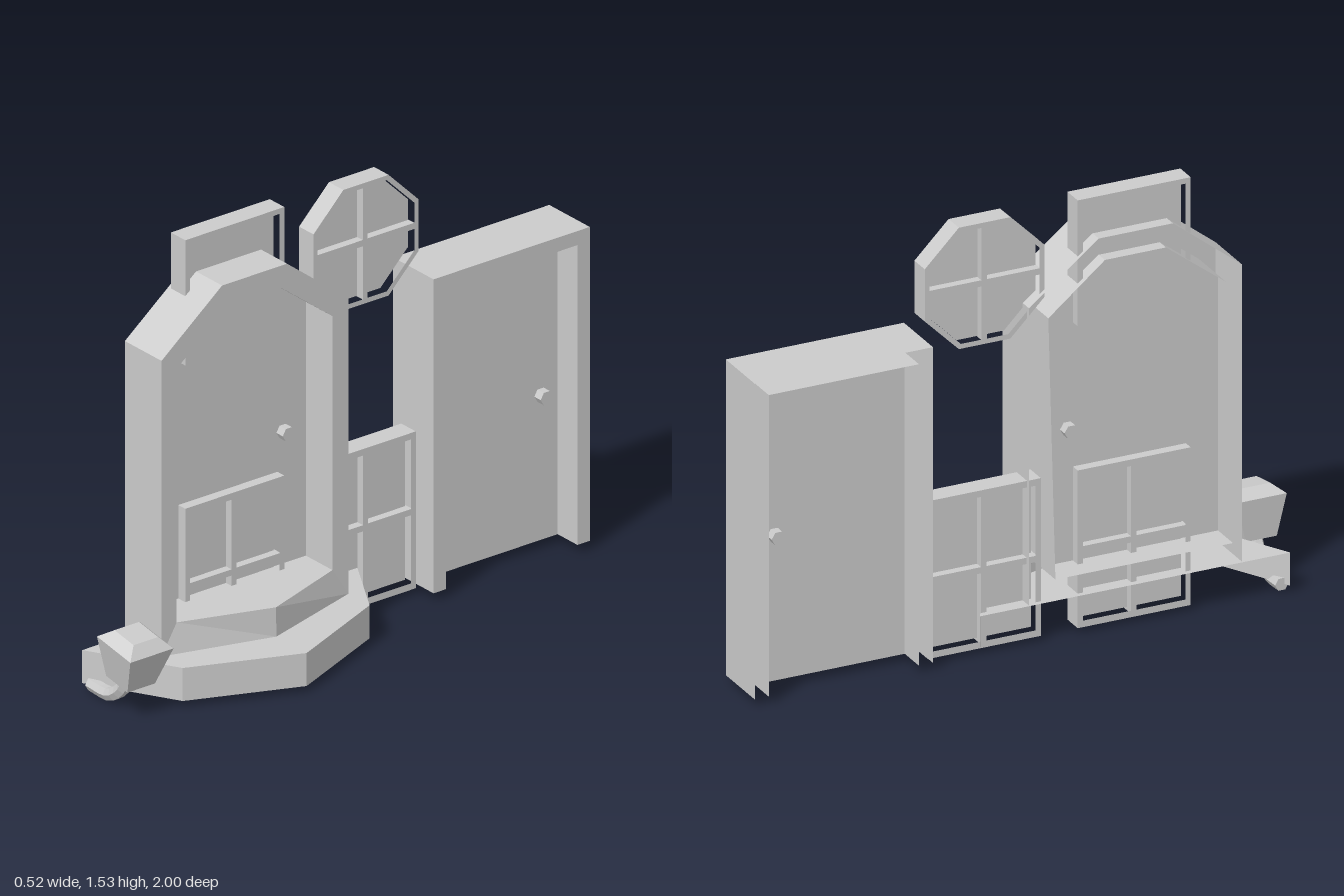
import * as THREE from 'three';

const grey = new THREE.MeshStandardMaterial({ color: 0xcccccc, flatShading: true });
const sheet = new THREE.MeshStandardMaterial({ color: 0xcccccc, flatShading: true, side: THREE.DoubleSide });

function add(parent, name, geometry, material = grey) {
  const mesh = new THREE.Mesh(geometry, material);
  mesh.name = name;
  parent.add(mesh);
  return mesh;
}

// Skin a list of rings (each a list of [x, y, z]) with flat quads
function loft(rings) {
  const pos = [];
  for (let j = 0; j < rings.length - 1; j++) {
    for (let i = 0; i < rings[j].length - 1; i++) {
      const a = rings[j][i], b = rings[j + 1][i], c = rings[j + 1][i + 1], d = rings[j][i + 1];
      pos.push(...a, ...b, ...c, ...a, ...c, ...d);
    }
  }
  const g = new THREE.BufferGeometry();
  g.setAttribute('position', new THREE.Float32BufferAttribute(pos, 3));
  g.computeVertexNormals();
  return g;
}

// Slab with outline [z, y] between two x planes, with optional hole outlines
function slab(outline, x0, x1, holes = []) {
  const vec = (pts) => pts.map(([z, y]) => new THREE.Vector2(-z, y));
  const shape = new THREE.Shape(vec(outline));
  for (const h of holes) shape.holes.push(new THREE.Path(vec(h)));
  const g = new THREE.ExtrudeGeometry(shape, { depth: x1 - x0, bevelEnabled: false });
  return g.rotateY(Math.PI / 2).translate(x0, 0, 0);
}

// Door surround: outer wall, front face and inner reveal, open at the back
function surround(outer, inner, back, front, innerBack) {
  return loft([
    outer.map(([z, y]) => [back, y, z]),
    outer.map(([z, y]) => [front, y, z]),
    inner.map(([z, y]) => [front, y, z]),
    inner.map(([z, y]) => [innerBack(y), y, z]),
  ]);
}

function knob(parent, x, y, z) {
  const g = new THREE.CylinderGeometry(0.025, 0.025, 0.07, 6).rotateZ(Math.PI / 2);
  add(parent, 'doorKnob', g).position.set(x, y, z);
}

const rect = (z, y, hw, hh) => [[z + hw, y - hh], [z + hw, y + hh], [z - hw, y + hh], [z - hw, y - hh]];
const octagon = (z, y, r) => {
  const f = r * 0.43;
  return [[r, -f], [r, f], [f, r], [-f, r], [-r, f], [-r, -f], [-f, -r], [f, -r]]
    .map(([a, b]) => [z + a, y + b]);
};

// Window: deep rim, central pane and optional crossing bars
function windowUnit(name, outer, inner, bars) {
  const w = new THREE.Group();
  w.name = name;
  add(w, 'windowRim', slab(outer, -0.187, -0.112, [inner]));
  add(w, 'windowPane', slab(inner, -0.155, -0.145));
  if (bars) {
    const { z, y, hw, hh } = bars;
    add(w, 'uprightBar', new THREE.BoxGeometry(0.068, 2 * hh, 0.02)).position.set(-0.15, y, z);
    add(w, 'crossBar', new THREE.BoxGeometry(0.068, 0.022, 2 * hw)).position.set(-0.15, y, z);
  }
  return w;
}

export function createModel() {
  const model = new THREE.Group();
  model.name = 'doorAndWindowSet';

  // Arched doorway, its reveal leaning back towards the floor
  const arch = new THREE.Group();
  arch.name = 'archedDoorway';
  const archOuter = [[0.762, 0.14], [0.762, 1.19], [0.515, 1.385], [0.25, 1.385], [0, 1.19], [0, 0.14]];
  const archInner = [[0.7, 0.14], [0.7, 1.145], [0.49, 1.305], [0.272, 1.305], [0.065, 1.145], [0.065, 0.14]];
  const archFloor = archInner.map(([z, y]) => [z, Math.max(y, 0.245)]);
  add(arch, 'archSurround', surround(archOuter, archFloor, -0.2, -0.01,
    (y) => -0.2 - 0.057 * (1.305 - y)), sheet);
  add(arch, 'archDoorPanel', slab(archFloor, -0.152, -0.148));
  knob(arch, -0.15, 0.715, 0.16);
  model.add(arch);

  // Pointed steps, open underneath
  const low = [[-0.205, 0.932], [0.1, 0.762], [0.257, 0.38], [0.1, 0], [-0.205, -0.178]];
  add(model, 'lowerStep', loft([
    low.map(([, z]) => [-0.205, 0.142, z]),
    low.map(([x, z]) => [x, 0.142, z]),
    low.map(([x, z]) => [x, 0.025, z]),
  ]), sheet);
  const upTop = [[-0.01, 0.7], [0.098, 0.38], [-0.01, 0.065]];
  const upBase = [[-0.01, 0.762], [0.1, 0.38], [-0.01, 0]];
  add(model, 'upperStep', loft([
    upTop.map(([, z]) => [-0.26, 0.245, z]),
    upTop.map(([x, z]) => [x, 0.245, z]),
    upBase.map(([x, z]) => [x, 0.142, z]),
  ]), sheet);

  // Plain rectangular doorway
  const plain = new THREE.Group();
  plain.name = 'plainDoorway';
  const plainOuter = [[-0.363, 0.03], [-0.363, 1.143], [-1, 1.143], [-1, 0.03]];
  const plainInner = [[-0.413, 0.03], [-0.413, 1.093], [-0.95, 1.093], [-0.95, 0.03]];
  add(plain, 'plainSurround', surround(plainOuter, plainInner, -0.24, -0.03, () => -0.24), sheet);
  add(plain, 'plainDoorPanel', slab(plainInner, -0.137, -0.133));
  knob(plain, -0.135, 0.545, -0.88);
  model.add(plain);

  // Windows
  model.add(windowUnit('upperWindow', rect(0.383, 1.306, 0.202, 0.222), rect(0.383, 1.306, 0.183, 0.203)));
  for (const z of [0.383, -0.153]) {
    model.add(windowUnit('lowerWindow', rect(z, 0.298, 0.202, 0.278), rect(z, 0.298, 0.183, 0.255),
      { z, y: 0.293, hw: 0.19, hh: 0.262 }));
  }
  model.add(windowUnit('octagonalWindow', octagon(-0.152, 1.304, 0.214), octagon(-0.152, 1.304, 0.197),
    { z: -0.152, y: 1.304, hw: 0.2, hh: 0.2 }));

  // Lantern: square tapered head on a bent arm
  const lantern = new THREE.Group();
  lantern.name = 'lantern';
  const tier = (half, y) => [[1, 1], [1, -1], [-1, -1], [-1, 1], [1, 1]].map(([a, b]) => [a * half, y, b * half]);
  const head = add(lantern, 'lanternHead', loft([
    tier(0, 0.177), tier(0.05, 0.177), tier(0.088, 0.143), tier(0.056, 0), tier(0, 0),
  ]), sheet);
  head.position.set(0.02, 0.115, 0.912);
  head.rotation.z = -0.17;
  const path = new THREE.CurvePath();
  const bend = [[-0.185, 0.026], [-0.085, 0.026], [-0.025, 0.065], [0.012, 0.125]]
    .map(([x, y]) => new THREE.Vector3(x, y, 0.912));
  const curve = new THREE.CatmullRomCurve3(bend, false, 'centripetal');
  add(lantern, 'lanternArm', new THREE.TubeGeometry(curve, 8, 0.024, 6), sheet);
  const cap = add(lantern, 'armEnd', new THREE.CircleGeometry(0.024, 6), sheet);
  cap.position.copy(bend[0]);
  cap.rotation.y = -Math.PI / 2;
  model.add(lantern);

  return model;
}
